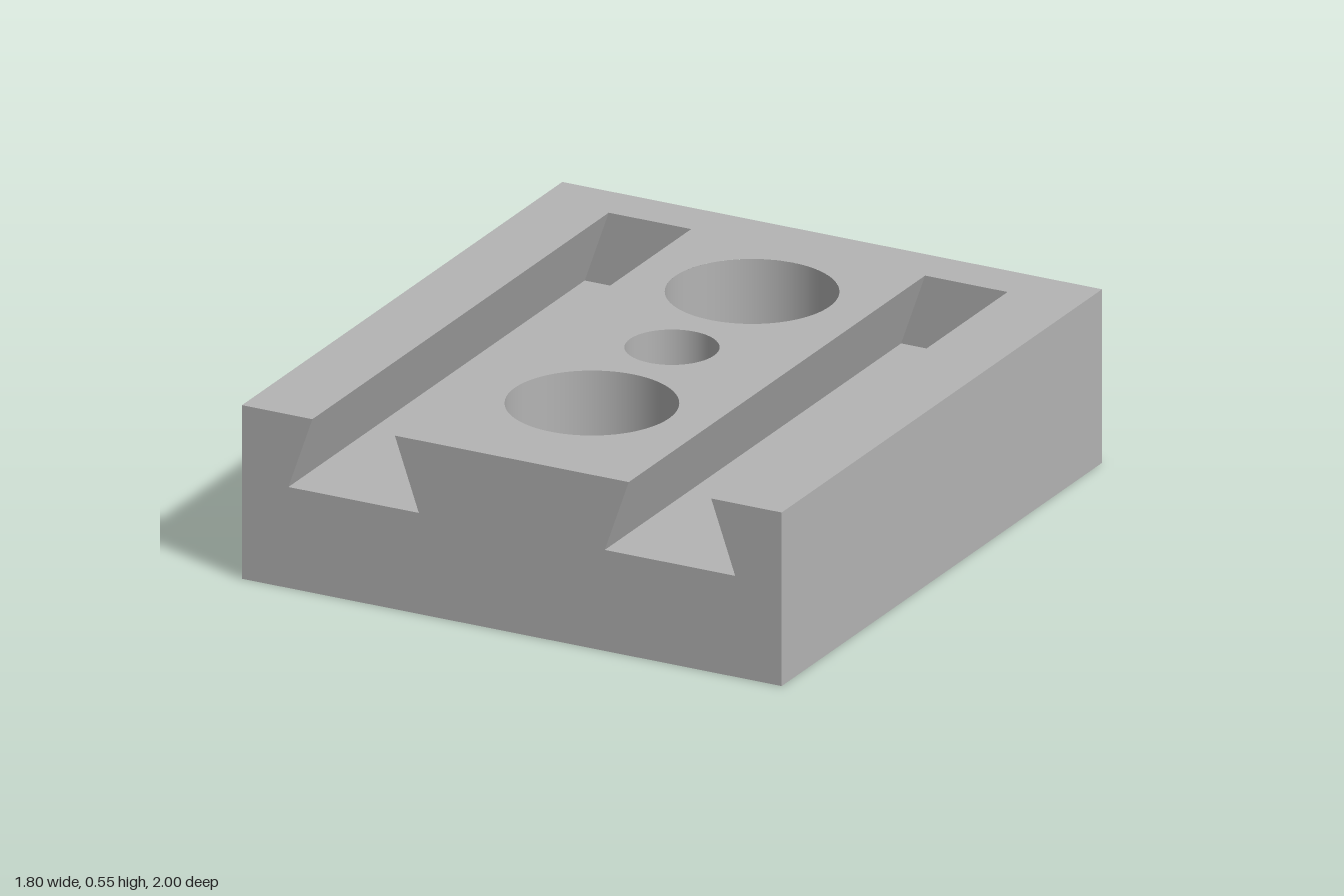
import * as THREE from 'three';

const W = 0.9, D = 1, H = 0.55;                 // half width, half depth, height
const BORE = 0.14, COUNTER = 0.257, LEDGE = 0.33;
const POCKET = 0.22, POCKET_TOP = 0.22;         // half size and ceiling of the square pocket
const SLOT_END = -0.85, SLOT_FLOOR = 0.32;
const SLOT = { topIn: 0.39, topOut: 0.665, lowIn: 0.31, lowOut: 0.745 };
const SEG = 64;

// Flat-shaded quads, corners counter-clockwise seen from their front
function quads(list) {
  const pos = [];
  for (const [a, b, c, d] of list) pos.push(...a, ...b, ...c, ...a, ...c, ...d);
  const g = new THREE.BufferGeometry();
  g.setAttribute('position', new THREE.Float32BufferAttribute(pos, 3));
  g.computeVertexNormals();
  return g;
}

// Flat plate from an outline, with round holes [z, radius] on the centre line
function plate(outline, circles = [], square = 0) {
  const shape = new THREE.Shape(outline.map(([x, y]) => new THREE.Vector2(x, y)));
  for (const [z, r] of circles) shape.holes.push(new THREE.Path().absarc(0, z, r, 0, Math.PI * 2, true));
  if (square) shape.holes.push(new THREE.Path(rect(square, square).map(([x, y]) => new THREE.Vector2(x, y)).reverse()));
  return new THREE.ShapeGeometry(shape, SEG);
}

const rect = (w, d) => [[-w, -d], [w, -d], [w, d], [-w, d]];

export function createModel() {
  const group = new THREE.Group();
  const material = new THREE.MeshStandardMaterial({ color: 0xb4b4b4 });
  material.name = 'grey';
  const add = (name, geometry, parent = group) => {
    const mesh = new THREE.Mesh(geometry, material);
    mesh.name = name;
    parent.add(mesh);
    return mesh;
  };
  const { topIn, topOut, lowIn, lowOut } = SLOT;

  // Top face, notched from the front by both slots
  const top = plate([
    [-W, -D], [-topOut, -D], [-topOut, -SLOT_END], [-topIn, -SLOT_END], [-topIn, -D],
    [topIn, -D], [topIn, -SLOT_END], [topOut, -SLOT_END], [topOut, -D],
    [W, -D], [W, D], [-W, D],
  ], [[-0.5, COUNTER], [0, BORE], [0.5, COUNTER]]);
  add('topFace', top.rotateX(-Math.PI / 2).translate(0, H, 0));

  // Underside with two bolt holes and the square pocket
  add('underside', plate(rect(W, D), [[-0.5, BORE], [0.5, BORE]], POCKET).rotateX(Math.PI / 2));

  // Front face with dovetail openings
  add('frontFace', plate([
    [-W, 0], [W, 0], [W, H], [topOut, H], [lowOut, SLOT_FLOOR], [lowIn, SLOT_FLOOR], [topIn, H],
    [-topIn, H], [-lowIn, SLOT_FLOOR], [-lowOut, SLOT_FLOOR], [-topOut, H], [-W, H],
  ]).translate(0, 0, D));

  // Back and side faces
  add('backFace', quads([[[W, 0, -D], [-W, 0, -D], [-W, H, -D], [W, H, -D]]]));
  const side = quads([[[W, 0, D], [W, 0, -D], [W, H, -D], [W, H, D]]]);
  add('leftFace', side);
  add('rightFace', side.clone().rotateY(Math.PI));

  // Dovetail slots: floor, two undercut walls and the closed back end
  const F = SLOT_FLOOR, E = SLOT_END;
  const slotFaces = [
    [[lowIn, F, D], [lowOut, F, D], [lowOut, F, E], [lowIn, F, E]],
    [[lowIn, F, D], [lowIn, F, E], [topIn, H, E], [topIn, H, D]],
    [[lowOut, F, E], [lowOut, F, D], [topOut, H, D], [topOut, H, E]],
    [[lowIn, F, E], [lowOut, F, E], [topOut, H, E], [topIn, H, E]],
  ];
  add('leftSlot', quads(slotFaces));
  add('rightSlot', quads(slotFaces.map(q => q.map(([x, y, z]) => [-x, y, z]).reverse())));

  // Holes: a profile run from top to bottom gives inward-facing walls
  const hole = (name, z, profile) => {
    const g = new THREE.Group();
    g.name = name;
    g.position.z = z;
    for (let i = 0; i < profile.length - 1; i++) {
      const points = [profile[i], profile[i + 1]].map(([r, y]) => new THREE.Vector2(r, y));
      add('holeWall', new THREE.LatheGeometry(points, SEG), g);
    }
    group.add(g);
  };
  const stepped = [[COUNTER, H], [COUNTER, LEDGE], [BORE, LEDGE], [BORE, 0]];
  hole('frontBoltHole', 0.5, stepped);
  hole('backBoltHole', -0.5, stepped);
  hole('centreHole', 0, [[BORE, H], [BORE, POCKET_TOP]]);

  // Square pocket under the centre hole
  const P = POCKET, T = POCKET_TOP;
  add('pocketCeiling', plate(rect(P, P), [[0, BORE]]).rotateX(Math.PI / 2).translate(0, T, 0));
  for (let i = 0; i < 4; i++) {
    const wall = quads([[[-P, 0, -P], [P, 0, -P], [P, T, -P], [-P, T, -P]]]);
    add('pocketWall', wall.rotateY(i * Math.PI / 2));
  }
  return group;
}
